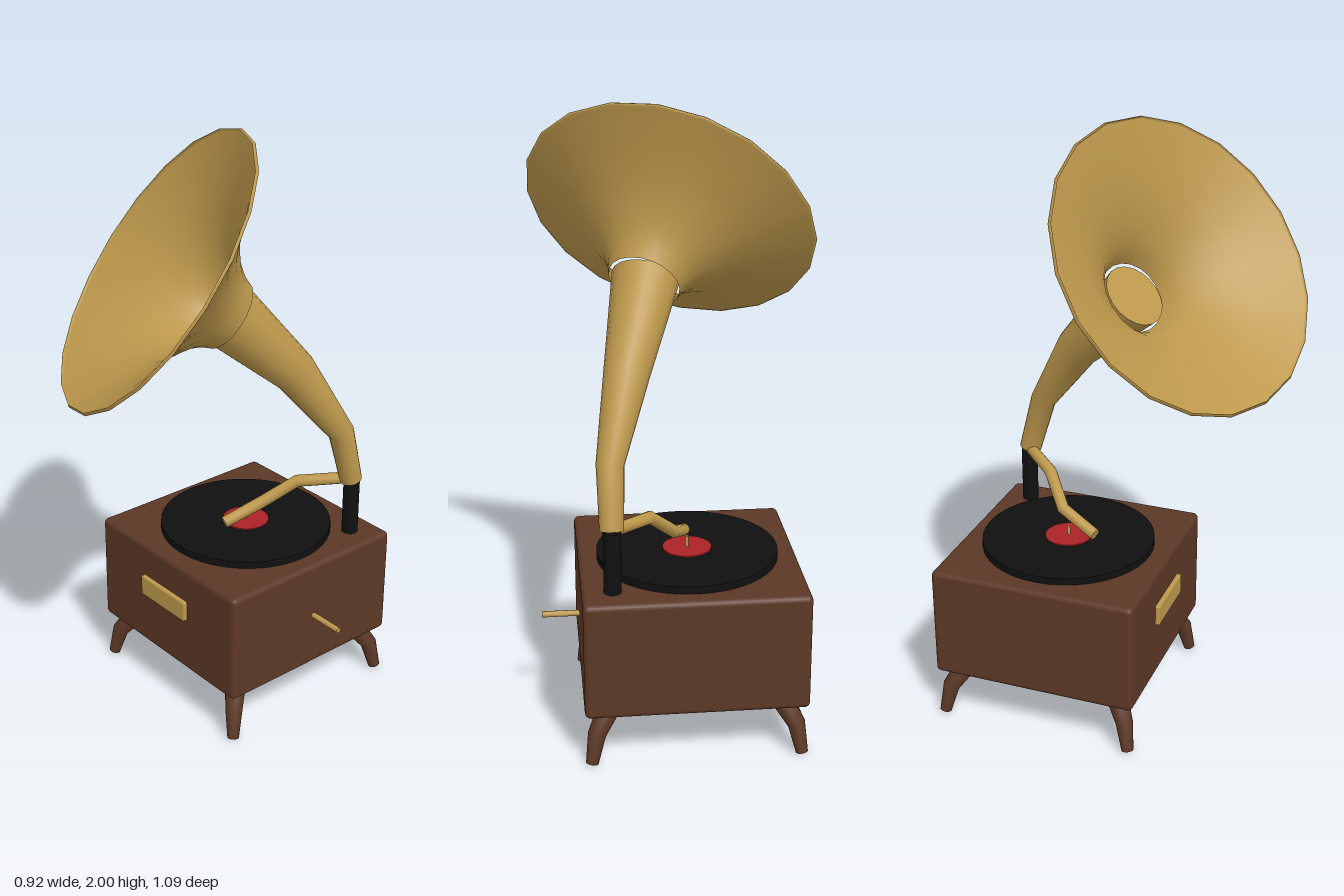
import * as THREE from 'three';
import { RoundedBoxGeometry } from 'three/addons/geometries/RoundedBoxGeometry.js';

const V = (x, y, z) => new THREE.Vector3(x, y, z);

function material(name, color, side = THREE.FrontSide) {
  const m = new THREE.MeshStandardMaterial({ color, side });
  m.name = name;
  return m;
}

// Round pipe through a few points, with its own radius at each and flat end caps
function pipe(points, radii, sides = 16) {
  const pos = [], index = [];
  const last = points.length - 1;
  const dirs = points.map((p, i) => {
    const d = V(0, 0, 0);
    if (i > 0) d.add(p.clone().sub(points[i - 1]).normalize());
    if (i < last) d.add(points[i + 1].clone().sub(p).normalize());
    return d.normalize();
  });
  const side = V(1, 0, 0);
  const rings = points.map((p, i) => {
    const d = dirs[i];
    side.addScaledVector(d, -side.dot(d)).normalize();
    const up = d.clone().cross(side);
    return Array.from({ length: sides }, (_, k) => {
      const a = (k / sides) * Math.PI * 2;
      return p.clone()
        .addScaledVector(side, Math.cos(a) * radii[i])
        .addScaledVector(up, Math.sin(a) * radii[i]);
    });
  });
  for (const ring of rings) for (const v of ring) pos.push(v.x, v.y, v.z);
  for (let i = 0; i < last; i++) {
    for (let k = 0; k < sides; k++) {
      const a = i * sides + k, b = i * sides + (k + 1) % sides;
      index.push(a, b, b + sides, a, b + sides, a + sides);
    }
  }
  for (const end of [0, last]) {
    const base = pos.length / 3;
    for (const v of rings[end]) pos.push(v.x, v.y, v.z);
    for (let k = 1; k < sides - 1; k++) {
      if (end) index.push(base, base + k, base + k + 1);
      else index.push(base, base + k + 1, base + k);
    }
  }
  const g = new THREE.BufferGeometry();
  g.setAttribute('position', new THREE.Float32BufferAttribute(pos, 3));
  g.setIndex(index);
  g.computeVertexNormals();
  return g;
}

export function createModel() {
  const group = new THREE.Group();
  const wood = material('wood', 0x5c3826);
  const brass = material('brass', 0xbd984c);
  const hornBrass = material('hornBrass', 0xbd984c, THREE.DoubleSide);
  const black = material('black', 0x101010);
  const red = material('red', 0xab2327);

  const add = (name, geometry, mat, x = 0, y = 0, z = 0) => {
    const mesh = new THREE.Mesh(geometry, mat);
    mesh.name = name;
    mesh.position.set(x, y, z);
    group.add(mesh);
    return mesh;
  };
  const cx = -0.02, cz = -0.195;

  // Cabinet and front plate
  add('cabinet', new RoundedBoxGeometry(0.71, 0.39, 0.71, 3, 0.018), wood, cx, 0.367, cz);
  add('frontPlate', new RoundedBoxGeometry(0.235, 0.075, 0.03, 2, 0.007), brass, -0.022, 0.407, 0.16);

  // Splayed legs, one at each corner
  for (const sx of [-1, 1]) {
    for (const sz of [-1, 1]) {
      const at = (d, y) => V(cx + sx * d, y, cz + sz * d);
      add('leg', pipe([at(0.27, 0.185), at(0.285, 0.155), at(0.318, 0.1), at(0.335, 0.007)],
        [0.037, 0.035, 0.029, 0.02], 12), wood);
    }
  }

  // Crank
  const crank = add('crank', new THREE.CylinderGeometry(0.01, 0.01, 0.14, 12), brass, 0.387, 0.366, -0.197);
  crank.rotation.z = Math.PI / 2;

  // Record, label and spindle
  add('record', new THREE.CylinderGeometry(0.295, 0.295, 0.026, 40), black, cx, 0.573, -0.197);
  add('label', new THREE.CylinderGeometry(0.08, 0.08, 0.006, 32), red, cx, 0.587, -0.197);
  add('spindle', new THREE.CylinderGeometry(0.006, 0.006, 0.04, 8), brass, cx, 0.606, -0.197);

  // Post and tone arm
  add('post', new THREE.CylinderGeometry(0.028, 0.028, 0.21, 20), black, 0.238, 0.66, -0.45);
  add('toneArm', pipe([V(0.235, 0.768, -0.45), V(0.11, 0.748, -0.315), V(0.025, 0.66, -0.235), V(-0.02, 0.605, -0.1)],
    [0.02, 0.021, 0.021, 0.02], 12), brass);

  // Horn neck
  const throat = V(0.092, 1.443, 0.003);
  const axis = V(-0.35, 0.587, 0.73).normalize();
  add('hornNeck', pipe([V(0.238, 0.765, -0.445), V(0.237, 0.96, -0.39), V(0.172, 1.2, -0.232),
    throat.clone().addScaledVector(axis, -0.004)], [0.038, 0.044, 0.073, 0.109], 20), brass);

  // Flared bell, radius and distance along its axis
  const profile = [[0.118, -0.022], [0.135, 0.02], [0.163, 0.06], [0.202, 0.097], [0.25, 0.138],
    [0.31, 0.175], [0.395, 0.222], [0.488, 0.264], [0.4965, 0.268], [0.49, 0.276]];
  const bell = add('hornBell', new THREE.LatheGeometry(profile.map(([r, t]) => new THREE.Vector2(r, t)), 20), hornBrass);
  bell.position.copy(throat);
  bell.quaternion.setFromUnitVectors(V(0, 1, 0), axis);

  return group;
}
